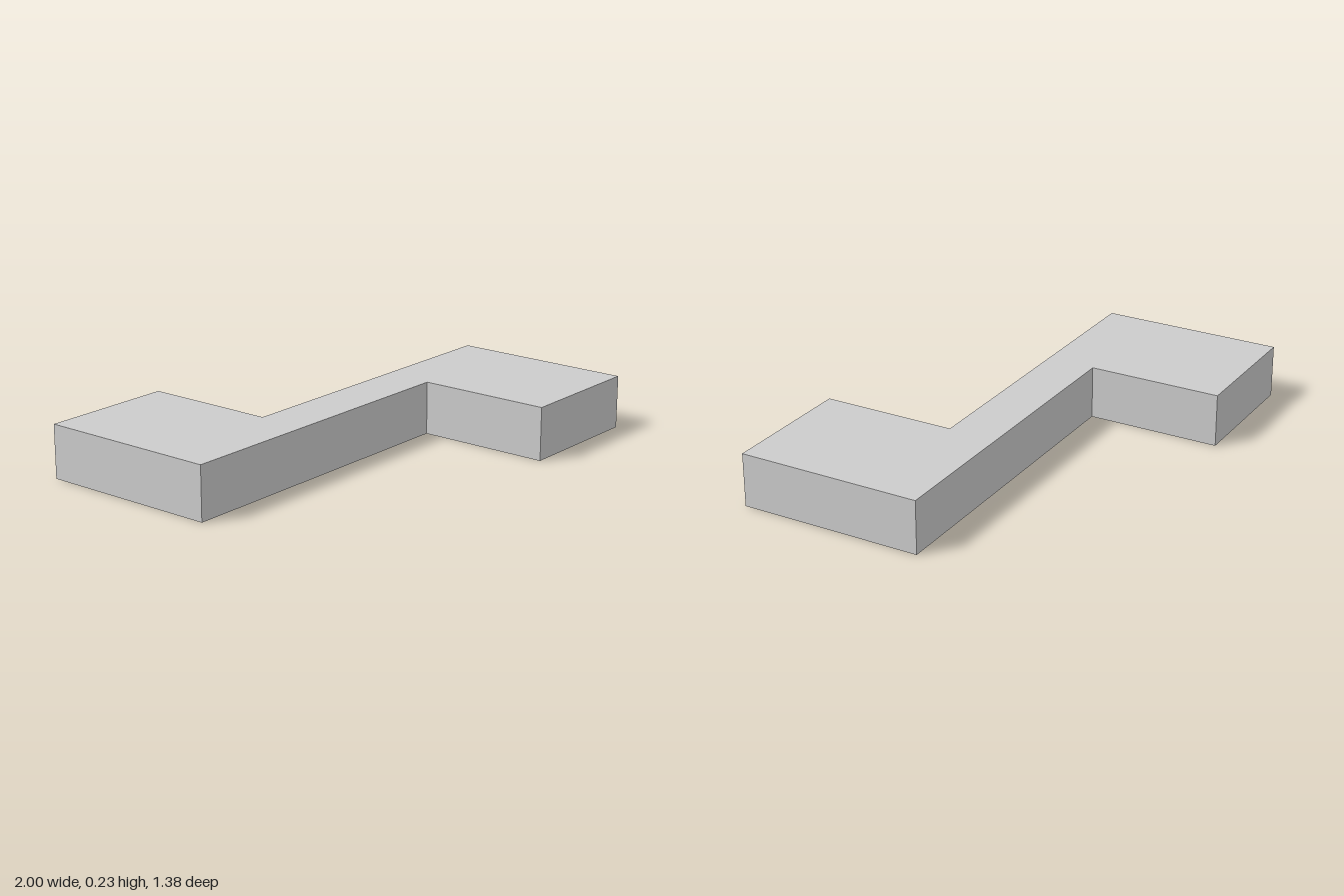
import * as THREE from 'three';

const HALF_X = 1, HALF_Z = 0.69, HEIGHT = 0.23;
const INNER_X = 0.408; // inner edge of each end block
const BAR_Z = 0.107;   // half width of the connecting bar

export function createModel() {
  const group = new THREE.Group();

  // half of the Z-shaped outline; the other half is the same turned by 180 degrees
  const half = [[-HALF_X, -BAR_Z], [INNER_X, -BAR_Z], [INNER_X, -HALF_Z], [HALF_X, -HALF_Z]];
  const outline = [...half, ...half.map(([x, y]) => [-x, -y])];
  const shape = new THREE.Shape(outline.map(([x, y]) => new THREE.Vector2(x, y)));

  // slab extruded upwards from the ground
  const geometry = new THREE.ExtrudeGeometry(shape, { depth: HEIGHT, bevelEnabled: false });
  geometry.rotateX(-Math.PI / 2);

  const slab = new THREE.Mesh(geometry, new THREE.MeshStandardMaterial({ color: 0xcccccc, flatShading: true }));
  slab.name = 'zShapedSlab';
  group.add(slab);
  return group;
}
